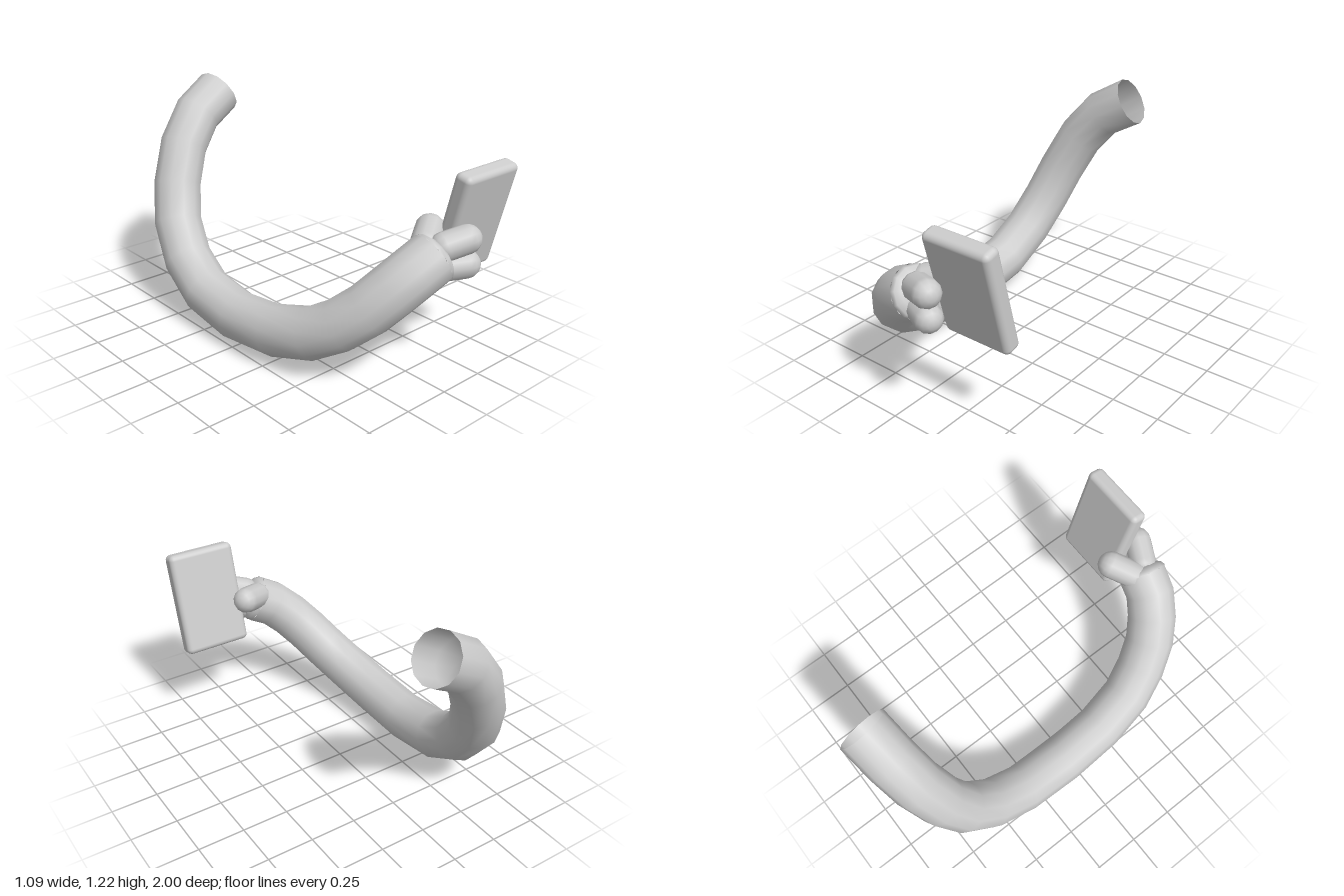
import * as THREE from 'three';
import { RoundedBoxGeometry } from 'three/addons/geometries/RoundedBoxGeometry.js';

const R = 0.133;

// Centre line of the arm, one point per ring, from the open shoulder to the wrist
const ARM = [
  [0.09, 1.11, -0.87], [-0.08, 1.01, -0.845], [-0.205, 0.855, -0.81],
  [-0.295, 0.66, -0.755], [-0.357, 0.47, -0.675], [-0.395, 0.3, -0.535],
  [-0.412, 0.18, -0.335], [-0.413, 0.138, -0.05], [-0.4, 0.163, 0.23],
  [-0.36, 0.225, 0.455], [-0.3, 0.31, 0.6], [-0.23, 0.41, 0.71],
  [-0.15, 0.505, 0.78], [-0.06, 0.585, 0.83], [0.04, 0.637, 0.85],
].map((p) => new THREE.Vector3(...p));

export function createModel() {
  const model = new THREE.Group();
  const grey = new THREE.MeshStandardMaterial({ color: 0xcccccc, side: THREE.DoubleSide });
  grey.name = 'light grey';

  const add = (name, geometry) => {
    const mesh = new THREE.Mesh(geometry, grey);
    mesh.name = name;
    model.add(mesh);
    return mesh;
  };

  // Arm: curved tube, open at the shoulder, with a ring at each listed point
  const curve = new THREE.CatmullRomCurve3(ARM);
  curve.getPointAt = curve.getPoint;
  curve.getTangentAt = curve.getTangent;
  add('arm', new THREE.TubeGeometry(curve, ARM.length - 1, R, 12, false));

  // Palm: shallow dome closing the wrist
  const palm = add('palm', new THREE.SphereGeometry(R, 12, 4, 0, Math.PI * 2, 0, Math.PI / 2));
  palm.scale.y = 0.4;
  palm.position.copy(ARM[ARM.length - 1]);
  palm.quaternion.setFromUnitVectors(new THREE.Vector3(0, 1, 0), curve.getTangent(1));

  // Fingers: capsules from the palm to a rounded tip
  const finger = (name, from, to, radius) => {
    const a = new THREE.Vector3(...from);
    const b = new THREE.Vector3(...to);
    const mesh = add(name, new THREE.CapsuleGeometry(radius, a.distanceTo(b), 4, 12));
    mesh.position.copy(a).lerp(b, 0.5);
    mesh.quaternion.setFromUnitVectors(new THREE.Vector3(0, 1, 0), b.sub(a).normalize());
  };
  finger('upperFinger', [0.08, 0.69, 0.88], [0.183, 0.717, 0.928], 0.072);
  finger('lowerFinger', [0.09, 0.587, 0.88], [0.188, 0.59, 0.928], 0.07);
  finger('thumb', [0.05, 0.685, 0.79], [0.16, 0.715, 0.722], 0.073);

  // Tablet held in the hand, leaning forward
  const tablet = add('tablet', new RoundedBoxGeometry(0.377, 0.572, 0.096, 3, 0.03));
  tablet.position.set(0.353, 0.742, 0.824);
  tablet.rotation.x = 0.25;

  return model;
}
